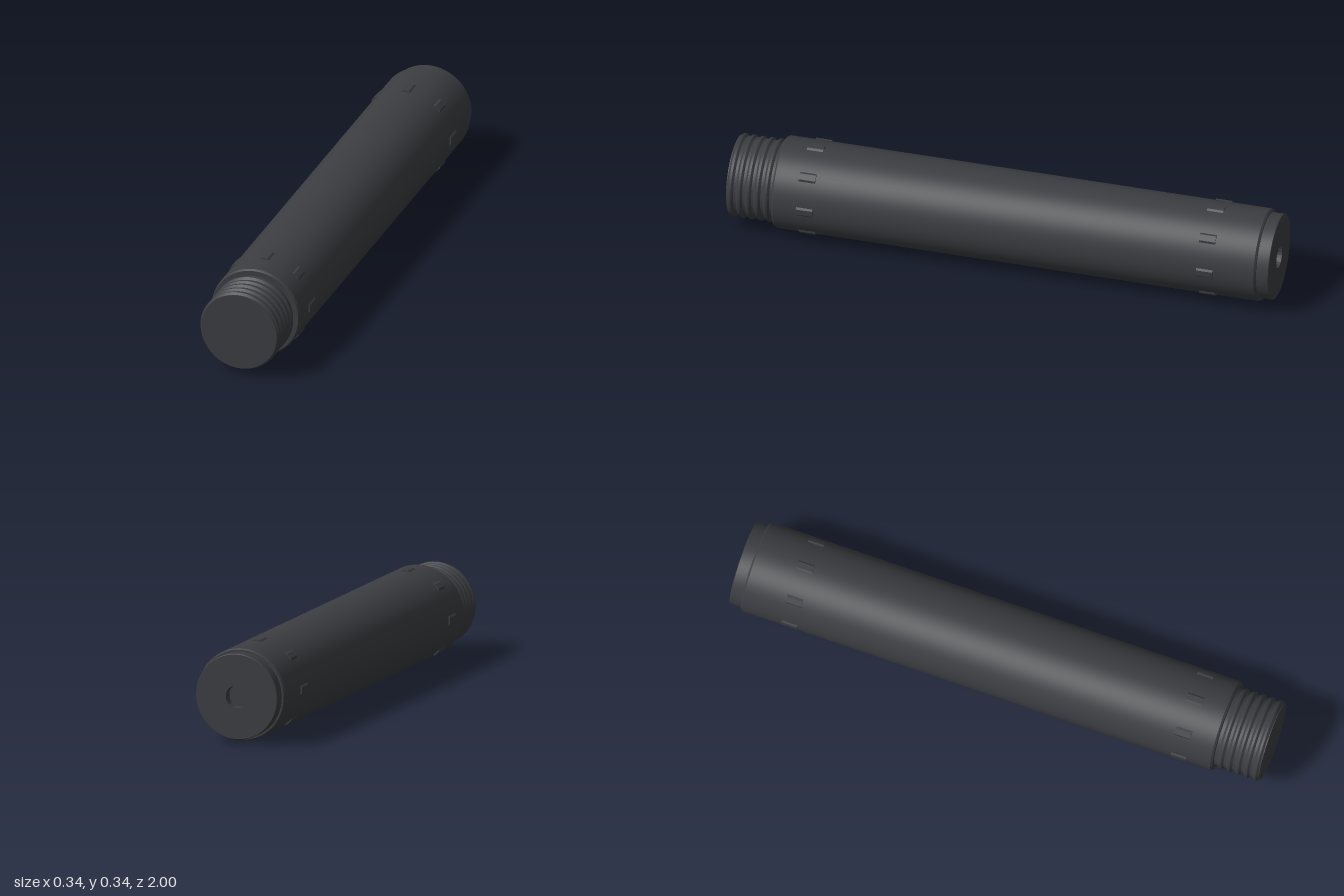
import * as THREE from 'three';
import { toCreasedNormals } from 'three/addons/utils/BufferGeometryUtils.js';

const CY = 0.172; // height of the tube's axis

export function createModel() {
  const model = new THREE.Group();
  model.name = 'tube';
  const mat = new THREE.MeshStandardMaterial({ color: 0x3b3d41 });

  // Revolve [radius, z] pairs (back to front) about the long axis
  const turned = (name, pts) => {
    const lathe = new THREE.LatheGeometry(pts.map(([r, z]) => new THREE.Vector2(r, z)), 72);
    lathe.rotateX(Math.PI / 2);
    const mesh = new THREE.Mesh(toCreasedNormals(lathe, 0.5), mat);
    mesh.name = name;
    mesh.position.y = CY;
    model.add(mesh);
  };

  // Main barrel with small chamfers at both ends
  turned('barrel', [
    [0, -0.955], [0.162, -0.955], [0.167, -0.948],
    [0.167, 0.822], [0.162, 0.829], [0, 0.829],
  ]);

  // Rear cap with a shallow centre hole
  turned('rearCap', [
    [0, -0.965], [0.041, -0.965], [0.041, -1], [0.153, -1],
    [0.155, -0.998], [0.155, -0.95],
  ]);

  // Threaded front neck with evenly spaced ridges
  const neck = [[0.143, 0.82]];
  for (let i = 0; i < 5; i++) {
    const z = 0.853 + i * 0.033;
    neck.push([0.143, z - 0.012], [0.15, z - 0.004], [0.15, z + 0.004], [0.143, z + 0.012]);
  }
  neck.push([0.143, 1], [0, 1]);
  turned('threadedNeck', neck);

  // Low grip nubs, eight per ring
  const section = new THREE.Shape();
  section.moveTo(-0.024, 0.16);
  section.lineTo(0.024, 0.16);
  section.lineTo(0.011, 0.172);
  section.lineTo(-0.011, 0.172);
  section.closePath();
  const nubGeo = new THREE.ExtrudeGeometry(section, { depth: 0.06, bevelEnabled: false });
  nubGeo.translate(0, 0, -0.03);

  for (const [name, z] of [['frontNubs', 0.705], ['rearNubs', -0.768]]) {
    const ring = new THREE.Group();
    ring.name = name;
    ring.position.set(0, CY, z);
    for (let i = 0; i < 8; i++) {
      const nub = new THREE.Mesh(nubGeo, mat);
      nub.name = 'nub';
      nub.rotation.z = i * Math.PI / 4;
      ring.add(nub);
    }
    model.add(ring);
  }
  return model;
}
